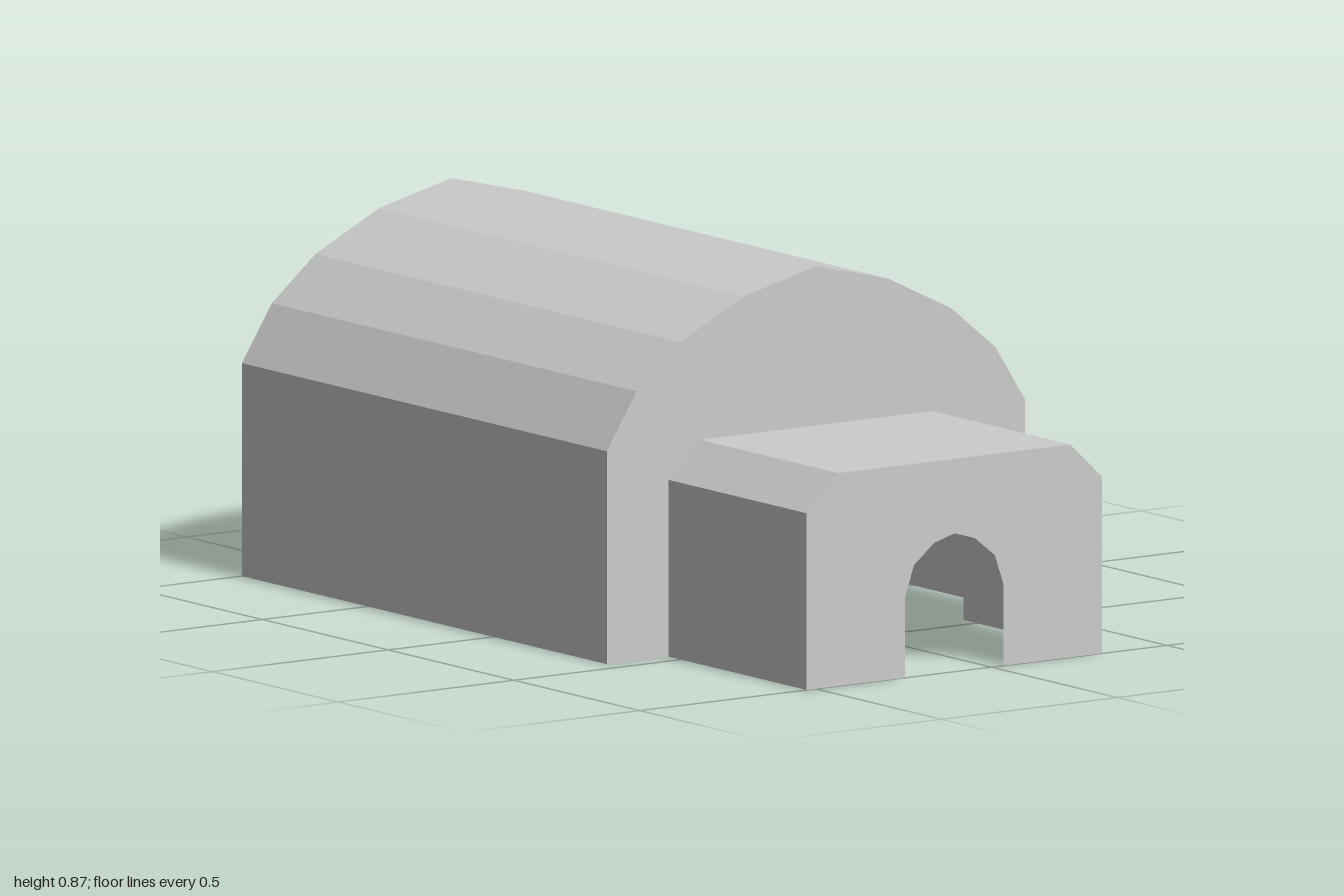
import * as THREE from 'three';

// Mirrors a half profile of [offset, height] points (right foot up to the crown)
// into a full outline running right to left.
function mirrored(half) {
  const left = half.filter(([u]) => u > 0).map(([u, y]) => [-u, y]).reverse();
  return [...half, ...left];
}

// Flat wall in the XY plane facing +z, with an optional opening that reaches the ground.
function wallGeometry(outline, opening = []) {
  const points = [...outline, ...[...opening].reverse()];
  return new THREE.ShapeGeometry(new THREE.Shape(points.map(([u, y]) => new THREE.Vector2(u, y))));
}

// Faceted open skin that sweeps an outline from z0 to z1.
function skinGeometry(outline, z0, z1) {
  const pos = [];
  for (let i = 0; i < outline.length - 1; i++) {
    const [u0, y0] = outline[i];
    const [u1, y1] = outline[i + 1];
    pos.push(u0, y0, z1, u0, y0, z0, u1, y1, z0);
    pos.push(u0, y0, z1, u1, y1, z0, u1, y1, z1);
  }
  const geo = new THREE.BufferGeometry();
  geo.setAttribute('position', new THREE.Float32BufferAttribute(pos, 3));
  geo.computeVertexNormals();
  return geo;
}

export function createModel() {
  const model = new THREE.Group();
  model.name = 'archedShelter';

  const grey = new THREE.MeshStandardMaterial({ color: 0xcccccc, side: THREE.DoubleSide });
  grey.name = 'pale grey';

  const add = (parent, name, geometry) => {
    const mesh = new THREE.Mesh(geometry, grey);
    mesh.name = name;
    parent.add(mesh);
    return mesh;
  };
  const addGroup = (name, x, z, turn) => {
    const group = new THREE.Group();
    group.name = name;
    group.position.set(x, 0, z);
    group.rotation.y = turn;
    model.add(group);
    return group;
  };

  // Main dimensions
  const hallEnd = 0.45, centreZ = 0.105, halfWidth = 0.595, eaves = 0.5;
  const porchX = -0.642, porchHalf = 0.233, porchHeight = 0.413;

  // Profiles
  const roof = mirrored([[halfWidth, eaves], [0.51, 0.632], [0.386, 0.735], [0.205, 0.824], [0, 0.874]]);
  const hallOutline = [[halfWidth, 0], ...roof, [-halfWidth, 0]];
  const annexOutline = mirrored([[0.42, 0], [0.42, 0.415], [0.33, 0.5]]);
  const porchOutline = mirrored([[porchHalf, 0], [porchHalf, porchHeight]]);
  const doorway = (lift) => mirrored([
    [0.14, 0], [0.14, 0.19 + lift], [0.115, 0.262 + lift], [0.058, 0.308 + lift], [0, 0.325 + lift],
  ]);

  // Hall, swept along x and open underneath
  const hall = addGroup('hall', 0, centreZ, Math.PI / 2);
  add(hall, 'archedRoof', skinGeometry(roof, -1, hallEnd));
  add(hall, 'annexEndWall', wallGeometry(hallOutline, annexOutline)).position.z = hallEnd;
  add(hall, 'closedEndWall', wallGeometry(hallOutline).rotateY(Math.PI)).position.z = -1;

  // Annex at the left end, open into the hall
  const annex = addGroup('annex', 0, centreZ, Math.PI / 2);
  add(annex, 'annexShell', skinGeometry(annexOutline, hallEnd, 1));
  add(annex, 'annexDoorWall', wallGeometry(annexOutline, doorway(0))).position.z = 1;

  // Long walls of the hall
  const frontZ = centreZ + halfWidth, backZ = halfWidth - centreZ;
  const frontSide = addGroup('frontSide', 0, 0, 0);
  add(frontSide, 'frontWall', wallGeometry([[hallEnd, 0], [hallEnd, eaves], [-1, eaves], [-1, 0]]))
    .position.z = frontZ;

  // Back wall and porch share a frame facing the back
  const backSide = addGroup('backSide', porchX, 0, Math.PI);
  const backOutline = [[1 + porchX, 0], [1 + porchX, eaves], [porchX - hallEnd, eaves], [porchX - hallEnd, 0]];
  add(backSide, 'backWall', wallGeometry(backOutline, porchOutline)).position.z = backZ;
  add(backSide, 'porchShell', skinGeometry(porchOutline, backZ, 0.7));
  add(backSide, 'porchDoorWall', wallGeometry(porchOutline, doorway(0.07))).position.z = 0.7;

  return model;
}
